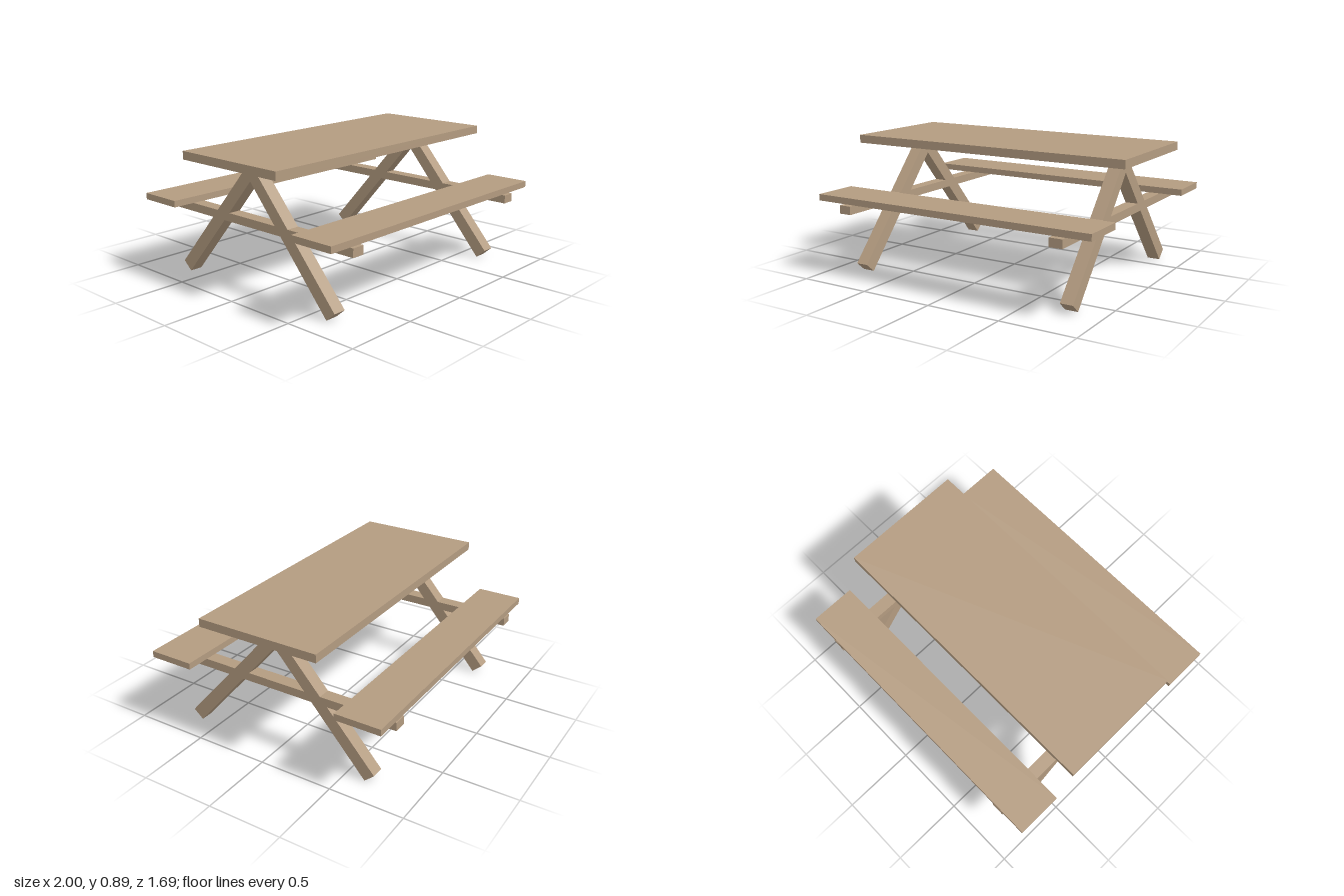
import * as THREE from 'three';

const wood = new THREE.MeshStandardMaterial({ color: 0xb39b80, flatShading: true });

const FRAME_X = 0.778; // centre of each end frame
const TIMBER = 0.087; // thickness of the frame timbers

function board(name, width, depth, bottom, top, x, z) {
  const mesh = new THREE.Mesh(new THREE.BoxGeometry(width, top - bottom, depth), wood);
  mesh.name = name;
  mesh.position.set(x, (bottom + top) / 2, z);
  return mesh;
}

// Slanted leg, mitred at the ridge and cut flat under the table top
function leg(name, side) {
  const outline = [[0.635, 0], [0.701, 0.058], [0.018, 0.832], [0, 0.832], [0, 0.728]];
  const shape = new THREE.Shape(outline.map(([z, y]) => new THREE.Vector2(z * side, y)));
  const geometry = new THREE.ExtrudeGeometry(shape, { depth: TIMBER, bevelEnabled: false });
  geometry.translate(0, 0, -TIMBER / 2).rotateY(-Math.PI / 2);
  const mesh = new THREE.Mesh(geometry, wood);
  mesh.name = name;
  return mesh;
}

export function createModel() {
  const model = new THREE.Group();
  model.name = 'picnicTable';

  // Table top and the two benches
  model.add(board('tableTop', 2, 0.842, 0.832, 0.887, 0, 0));
  model.add(board('frontBench', 2, 0.307, 0.5, 0.543, 0, 0.689));
  model.add(board('backBench', 2, 0.307, 0.5, 0.543, 0, -0.689));

  // A-frame at each end, with a crossbar reaching under both benches
  for (const side of [-1, 1]) {
    const frame = new THREE.Group();
    frame.name = side > 0 ? 'leftFrame' : 'rightFrame';
    frame.position.x = side * FRAME_X;
    frame.add(leg('frontLeg', 1), leg('backLeg', -1));
    frame.add(board('crossbar', TIMBER, 1.685, 0.432, 0.488, 0, 0));
    model.add(frame);
  }
  return model;
}
